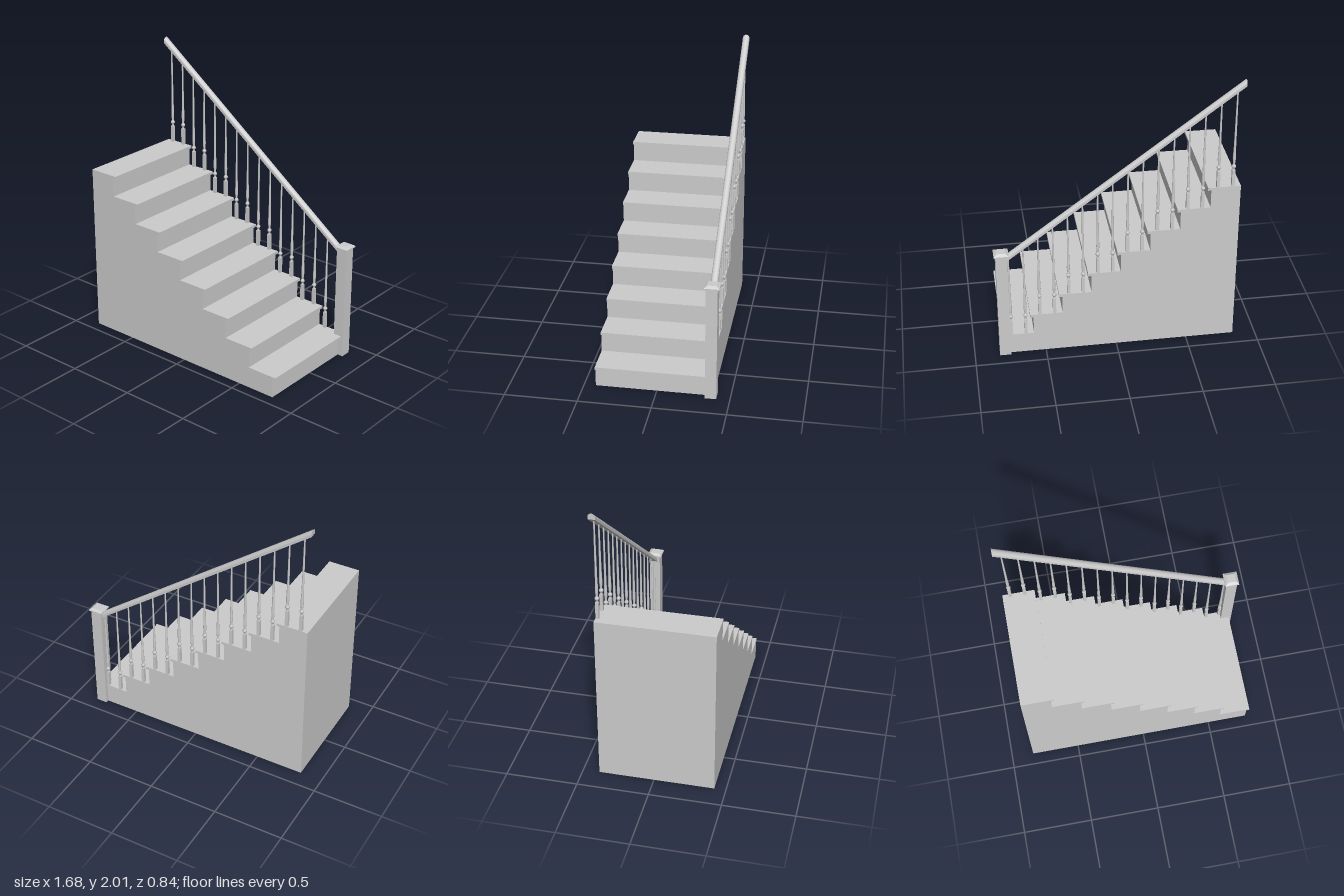
import * as THREE from 'three';

const STEPS = 8, RISE = 0.153, RUN = 0.2036, RISER_X = 0.785;
const LEFT = -0.842, FRONT = 0.42, BACK = -0.385, DEPTH = FRONT - BACK;
const NOSE = 0.022, TREAD = 0.02, RAIL_Z = -0.372, SLOPE = RISE / RUN;

// height of the handrail's underside at x
const railY = (x) => 0.778 + (0.745 - x) * SLOPE;
const riserX = (i) => (i < STEPS ? RISER_X - i * RUN : LEFT);

export function createModel() {
  const group = new THREE.Group();
  const mat = new THREE.MeshStandardMaterial({ color: 0xcccccc });

  const add = (name, geo, x = 0, y = 0, z = 0, parent = group) => {
    const mesh = new THREE.Mesh(geo, mat);
    mesh.name = name;
    mesh.position.set(x, y, z);
    parent.add(mesh);
    return mesh;
  };

  // solid stepped base under the treads
  const outline = new THREE.Shape();
  outline.moveTo(LEFT, 0);
  outline.lineTo(RISER_X, 0);
  for (let i = 0; i < STEPS; i++) {
    const y = (i + 1) * RISE - TREAD;
    outline.lineTo(riserX(i), y);
    outline.lineTo(riserX(i + 1), y);
  }
  outline.closePath();
  add('stairBody', new THREE.ExtrudeGeometry(outline, { depth: DEPTH, bevelEnabled: false }), 0, 0, BACK);

  // treads with overhanging nosing
  for (let i = 0; i < STEPS; i++) {
    const x0 = riserX(i + 1), x1 = riserX(i) + NOSE;
    add('tread', new THREE.BoxGeometry(x1 - x0, TREAD, DEPTH),
      (x0 + x1) / 2, (i + 1) * RISE - TREAD / 2, (FRONT + BACK) / 2);
  }

  // balusters: square foot, turned bead and a tapering shaft up to the rail
  for (let i = 0; i < STEPS * 2; i++) {
    const x = 0.738 - i * RUN / 2;
    const y = (Math.floor(i / 2) + 1) * RISE;
    const h = railY(x) + 0.012 - y;
    const baluster = new THREE.Group();
    baluster.name = 'baluster';
    baluster.position.set(x, y, RAIL_Z);
    group.add(baluster);
    add('balusterFoot', new THREE.BoxGeometry(0.022, 0.12, 0.022), 0, 0.06, 0, baluster);
    const profile = [
      [0.011, 0.118], [0.007, 0.13], [0.009, 0.136], [0.015, 0.145], [0.015, 0.153],
      [0.009, 0.162], [0.007, 0.168], [0.009, 0.185], [0.011, 0.21], [0.01, 0.24],
      [0.008, 0.3], [0.005, h],
    ].map(([r, py]) => new THREE.Vector2(r, py));
    add('balusterShaft', new THREE.LatheGeometry(profile, 16), 0, 0, 0, baluster);
  }

  // handrail: round-topped section run along x, then sheared to the pitch of the stairs
  const w = 0.024, section = new THREE.Shape();
  section.moveTo(-w, 0);
  section.lineTo(w, 0);
  section.lineTo(w, 0.016);
  section.absellipse(0, 0.016, w, 0.026, 0, Math.PI, false);
  section.closePath();
  const x0 = LEFT, x1 = 0.755;
  const rail = new THREE.ExtrudeGeometry(section, { depth: x1 - x0, bevelEnabled: false, curveSegments: 16 });
  rail.rotateY(Math.PI / 2);
  rail.translate(x0, railY(x0), 0);
  rail.applyMatrix4(new THREE.Matrix4().set(
    1, 0, 0, 0,
    -SLOPE, 1, 0, SLOPE * x0,
    0, 0, 1, 0,
    0, 0, 0, 1));
  add('handrail', rail, 0, 0, RAIL_Z);

  // newel post with a chamfered cap
  const px = 0.786, pz = -0.37;
  add('newelPost', new THREE.BoxGeometry(0.08, 0.822, 0.078), px, 0.411, pz);
  add('newelCapBase', new THREE.BoxGeometry(0.102, 0.008, 0.102), px, 0.826, pz);
  const cap = new THREE.CylinderGeometry(0.031 * Math.SQRT2, 0.051 * Math.SQRT2, 0.014, 4, 1).toNonIndexed();
  cap.rotateY(Math.PI / 4);
  cap.computeVertexNormals();
  add('newelCapTop', cap, px, 0.837, pz);

  return group;
}
